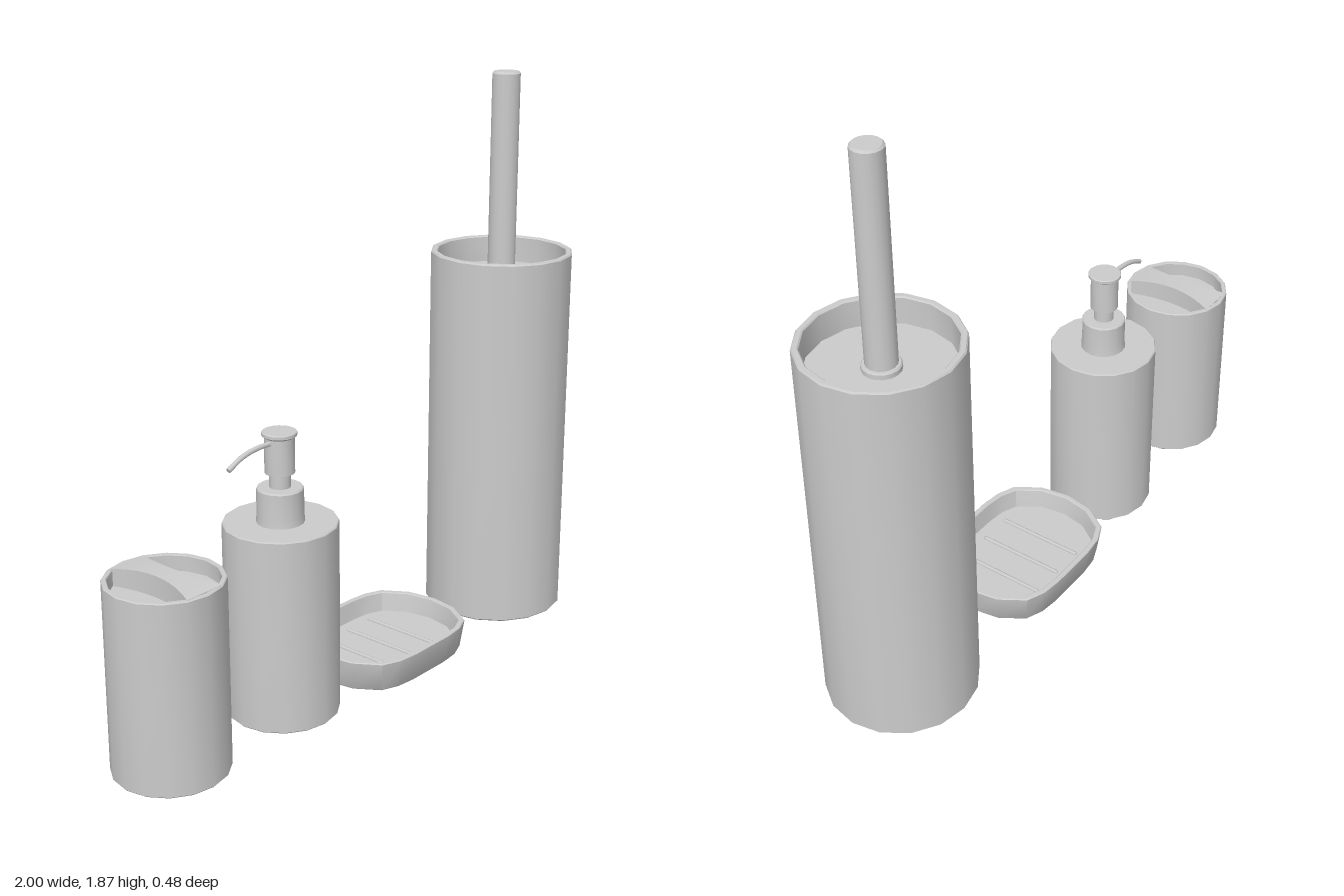
import * as THREE from 'three';
import { toCreasedNormals } from 'three/addons/utils/BufferGeometryUtils.js';

const material = new THREE.MeshStandardMaterial({ color: 0xcccccc });
const SIDES = 16;
const CREASE = 0.55;

function part(name, geometry, x = 0, y = 0, z = 0) {
  const mesh = new THREE.Mesh(geometry, material);
  mesh.name = name;
  mesh.position.set(x, y, z);
  return mesh;
}

// Turned solid from [radius, height] pairs, listed from the bottom up the outside
function turned(profile, sides = SIDES) {
  const points = profile.map(([r, y]) => new THREE.Vector2(r, y));
  return toCreasedNormals(new THREE.LatheGeometry(points, sides), CREASE);
}

// Skin over equal-length loops of [x, y, z], closed with a fan at both ends
function loft(loops) {
  const pos = [];
  const tri = (a, b, c) => pos.push(...a, ...b, ...c);
  const n = loops[0].length;
  const centre = (loop) => [0, 1, 2].map((k) => loop.reduce((s, p) => s + p[k], 0) / n);
  const first = loops[0];
  const last = loops[loops.length - 1];
  for (let j = 0; j < n; j++) {
    const k = (j + 1) % n;
    for (let i = 0; i < loops.length - 1; i++) {
      tri(loops[i][j], loops[i][k], loops[i + 1][k]);
      tri(loops[i][j], loops[i + 1][k], loops[i + 1][j]);
    }
    tri(centre(first), first[k], first[j]);
    tri(centre(last), last[j], last[k]);
  }
  const geometry = new THREE.BufferGeometry();
  geometry.setAttribute('position', new THREE.Float32BufferAttribute(pos, 3));
  return toCreasedNormals(geometry, CREASE);
}

// Cup with a recessed top and a waisted, slightly arched bridge
function brushCup() {
  const group = new THREE.Group();
  group.name = 'toothbrushCup';
  group.add(part('cupBody', turned([
    [0, 0], [0.174, 0], [0.178, 0.004], [0.178, 0.597], [0.175, 0.6],
    [0.164, 0.6], [0.162, 0.597], [0.162, 0.55], [0, 0.55],
  ])));
  const loops = [];
  for (let i = 0; i <= 10; i++) {
    const t = i / 5 - 1;
    const w = 0.033 + 0.031 * t * t;
    const top = 0.601 + 0.015 * (1 - t * t);
    loops.push([[-w, 0.54, t * 0.16], [w, 0.54, t * 0.16], [w, top, t * 0.16], [-w, top, t * 0.16]]);
  }
  group.add(part('cupBridge', loft(loops)));
  return group;
}

// Bottle with collar, pump and curved spout
function soapDispenser() {
  const group = new THREE.Group();
  group.name = 'soapDispenser';
  group.add(part('bottle', turned([
    [0, 0], [0.174, 0], [0.178, 0.004], [0.178, 0.621], [0.175, 0.625], [0, 0.625],
  ])));
  group.add(part('collar', turned([
    [0, 0.62], [0.075, 0.62], [0.072, 0.65], [0.072, 0.73], [0.068, 0.735], [0, 0.735],
  ])));
  group.add(part('pumpStem', new THREE.CylinderGeometry(0.033, 0.033, 0.06, SIDES), 0, 0.76));
  group.add(part('pumpHead', turned([
    [0, 0.78], [0.046, 0.78], [0.046, 0.892], [0.054, 0.898], [0.054, 0.907], [0.051, 0.91], [0, 0.91],
  ])));
  const path = new THREE.CatmullRomCurve3([
    new THREE.Vector3(-0.03, 0.88, 0), new THREE.Vector3(-0.1, 0.88, 0),
    new THREE.Vector3(-0.16, 0.869, 0), new THREE.Vector3(-0.213, 0.845, 0),
  ]);
  group.add(part('spout', new THREE.TubeGeometry(path, 12, 0.008, 8)));
  const tip = part('spoutTip', new THREE.CylinderGeometry(0.008, 0.008, 0.004, 8), -0.213, 0.845);
  tip.rotation.z = Math.PI / 2 + 0.45;
  group.add(tip);
  return group;
}

// Shallow oblong dish with three drainage ridges
function soapDish() {
  const group = new THREE.Group();
  group.name = 'soapDish';
  const quarter = [[0.085, 0.215], [0.155, 0.207], [0.215, 0.182], [0.268, 0.1]];
  const mirrored = [...quarter].reverse();
  const outline = [
    ...quarter, [0.285, 0], ...mirrored.map(([x, z]) => [x, -z]),
    ...quarter.map(([x, z]) => [-x, -z]), [-0.285, 0], ...mirrored.map(([x, z]) => [-x, z]),
  ];
  const ring = (inset, y) => outline.map(([x, z]) => [x * (1 - inset / 0.285), y, z * (1 - inset / 0.215)]);
  group.add(part('dishBody', loft([
    ring(0.016, 0), ring(0.013, 0.004), ring(0, 0.097), ring(0.003, 0.1),
    ring(0.015, 0.1), ring(0.018, 0.097), ring(0.028, 0.035),
  ])));
  for (const x of [-0.11, 0, 0.11]) {
    const ridge = part('dishRidge', new THREE.CapsuleGeometry(0.007, 0.29, 3, 8), x, 0.036);
    ridge.rotation.x = Math.PI / 2;
    group.add(ridge);
  }
  return group;
}

// Tall holder with a recessed lid and a long handle
function toiletBrush() {
  const group = new THREE.Group();
  group.name = 'toiletBrush';
  group.add(part('brushHolder', turned([
    [0, 0], [0.235, 0], [0.24, 0.005], [0.24, 1.265], [0.236, 1.27],
    [0.222, 1.27], [0.218, 1.266], [0.218, 1.18], [0, 1.18],
  ])));
  group.add(part('handleCollar', turned([
    [0, 1.17], [0.058, 1.17], [0.058, 1.195], [0.054, 1.2], [0, 1.2],
  ])));
  group.add(part('handle', turned([
    [0, 1.17], [0.047, 1.17], [0.047, 1.858], [0.041, 1.865], [0, 1.865],
  ])));
  return group;
}

export function createModel() {
  const model = new THREE.Group();
  model.name = 'bathroomSet';
  const pieces = [[brushCup(), -0.822], [soapDispenser(), -0.345], [soapDish(), 0.135], [toiletBrush(), 0.76]];
  for (const [piece, x] of pieces) {
    piece.position.x = x;
    model.add(piece);
  }
  return model;
}
